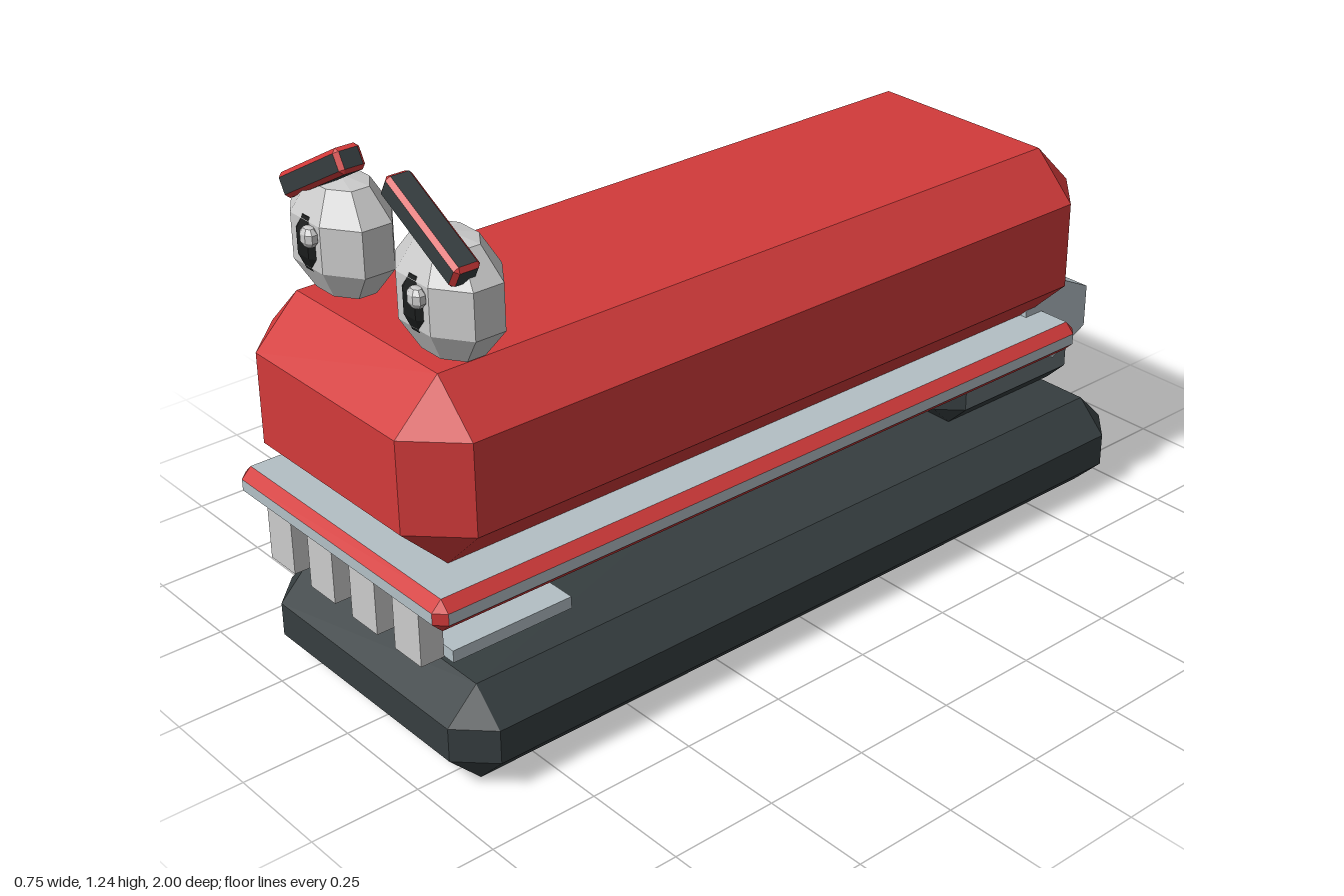
import * as THREE from 'three';

const mat = (color, side = THREE.FrontSide) =>
  new THREE.MeshStandardMaterial({ color, flatShading: true, side });
const RED = mat(0xd23a3a), DARK = mat(0x363e40), SLATE = mat(0x667176);
const STEEL = mat(0xb3bfc5), WHITE = mat(0xcccccc), BLACK = mat(0x1a1c1c);

// Box with single chamfers: flat faces use one material, chamfers another
function chamferBox(name, [x0, x1], [y0, y1], [z0, z1], c, faceMat, edgeMat = faceMat) {
  const h = [(x1 - x0) / 2, (y1 - y0) / 2, (z1 - z0) / 2];
  // corner of the face on the given axis, for a sign triple
  const corner = (axis, s) => new THREE.Vector3(...h.map((v, i) => s[i] * (i === axis ? v : v - c)));
  const sign = (a, sa, b, sb, d, sd) => {
    const s = [0, 0, 0];
    s[a] = sa; s[b] = sb; s[d] = sd;
    return s;
  };
  const faces = [], edges = [];
  // fan a convex polygon, turned to face outwards
  const addPoly = (out, pts) => {
    const n = pts[1].clone().sub(pts[0]).cross(pts[2].clone().sub(pts[0]));
    const mid = pts.reduce((m, p) => m.add(p), new THREE.Vector3());
    if (n.dot(mid) < 0) pts.reverse();
    for (let i = 1; i < pts.length - 1; i++)
      for (const p of [pts[0], pts[i], pts[i + 1]]) out.push(p.x, p.y, p.z);
  };
  const pm = [-1, 1];
  for (let a = 0; a < 3; a++) {
    const b = (a + 1) % 3, d = (a + 2) % 3;
    for (const s of pm) {
      addPoly(faces, [[-1, -1], [1, -1], [1, 1], [-1, 1]].map(([u, v]) => corner(a, sign(a, s, b, u, d, v))));
      for (const t of pm) {
        const lo = sign(a, s, b, t, d, -1), hi = sign(a, s, b, t, d, 1);
        addPoly(edges, [corner(a, lo), corner(a, hi), corner(b, hi), corner(b, lo)]);
      }
    }
  }
  for (const x of pm) for (const y of pm) for (const z of pm)
    addPoly(edges, [0, 1, 2].map(a => corner(a, [x, y, z])));

  const group = new THREE.Group();
  group.name = name;
  for (const [part, pos, m] of [['Faces', faces, faceMat], ['Chamfers', edges, edgeMat]]) {
    const geo = new THREE.BufferGeometry();
    geo.setAttribute('position', new THREE.Float32BufferAttribute(pos, 3));
    geo.computeVertexNormals();
    const mesh = new THREE.Mesh(geo, m);
    mesh.name = name + part;
    group.add(mesh);
  }
  group.position.set((x0 + x1) / 2, (y0 + y1) / 2, (z0 + z1) / 2);
  return group;
}

function addMesh(parent, name, geo, m, x, y, z) {
  const mesh = new THREE.Mesh(geo, m);
  mesh.name = name;
  mesh.position.set(x, y, z);
  parent.add(mesh);
  return mesh;
}

// Eight-sided faceted ball with a flat side to the front, given half sizes
function facetedBall(rx, ry, rz) {
  const profile = [[0, -1], [0.6, -0.92], [1, -0.4], [1, 0.4], [0.6, 0.92], [0, 1]]
    .map(([r, y]) => new THREE.Vector2(r / Math.cos(Math.PI / 8), y));
  return new THREE.LatheGeometry(profile, 8, Math.PI / 8).scale(rx, ry, rz);
}

export function createModel() {
  const model = new THREE.Group();
  model.name = 'staplerCreature';

  // Long base and upper body
  model.add(chamferBox('base', [-0.375, 0.375], [0, 0.226], [-1, 0.955], 0.074, DARK));
  model.add(chamferBox('body', [-0.345, 0.345], [0.48, 0.895], [-0.888, 0.995], 0.105, RED));

  // Steel jaw plate with red chamfers
  model.add(chamferBox('jawPlate', [-0.36, 0.36], [0.41, 0.482], [-0.83, 1], 0.023, STEEL, RED));

  // Rear block and six-sided hinge pin
  model.add(chamferBox('rearBlock', [-0.225, 0.225], [0.225, 0.522], [-1, -0.547], 0.052, SLATE, DARK));
  const pin = new THREE.CylinderGeometry(0.107, 0.107, 0.52, 6);
  pin.rotateZ(Math.PI / 2).rotateX(Math.PI / 2).scale(1, 1, 1);
  pin.computeBoundingBox();
  const size = pin.boundingBox.getSize(new THREE.Vector3());
  pin.scale(1, 0.208 / size.y, 0.214 / size.z);
  addMesh(model, 'hingePin', pin, STEEL, 0, 0.445, -0.86);

  // Strike plate on the base
  addMesh(model, 'strikePlate', new THREE.BoxGeometry(0.45, 0.028, 0.3), STEEL, 0, 0.25, 0.73);

  // Upper teeth
  for (const x of [-0.226, -0.077, 0.073, 0.223])
    addMesh(model, 'tooth', new THREE.BoxGeometry(0.088, 0.125, 0.055), WHITE, x, 0.357, 0.957);

  // Eyes, pupils, glints and slanted brows
  for (const s of [-1, 1]) {
    const eye = new THREE.Group();
    eye.name = s > 0 ? 'leftEye' : 'rightEye';
    eye.position.set(s * 0.18, 1.02, 0.81);
    addMesh(eye, 'eyeball', facetedBall(0.125, 0.125, 0.085), WHITE, 0, 0, 0);
    addMesh(eye, 'pupil', facetedBall(0.046, 0.063, 0.03), BLACK, 0, 0, 0.064);
    addMesh(eye, 'glint', facetedBall(0.021, 0.021, 0.015), WHITE, 0.025, 0.025, 0.093);
    model.add(eye);

    const brow = chamferBox(s > 0 ? 'leftBrow' : 'rightBrow',
      [-0.126, 0.126], [-0.027, 0.027], [-0.03, 0.03], 0.009, DARK, RED);
    brow.position.set(s * 0.181, 1.16, 0.848);
    brow.rotation.z = -s * 0.51;
    model.add(brow);
  }
  return model;
}
